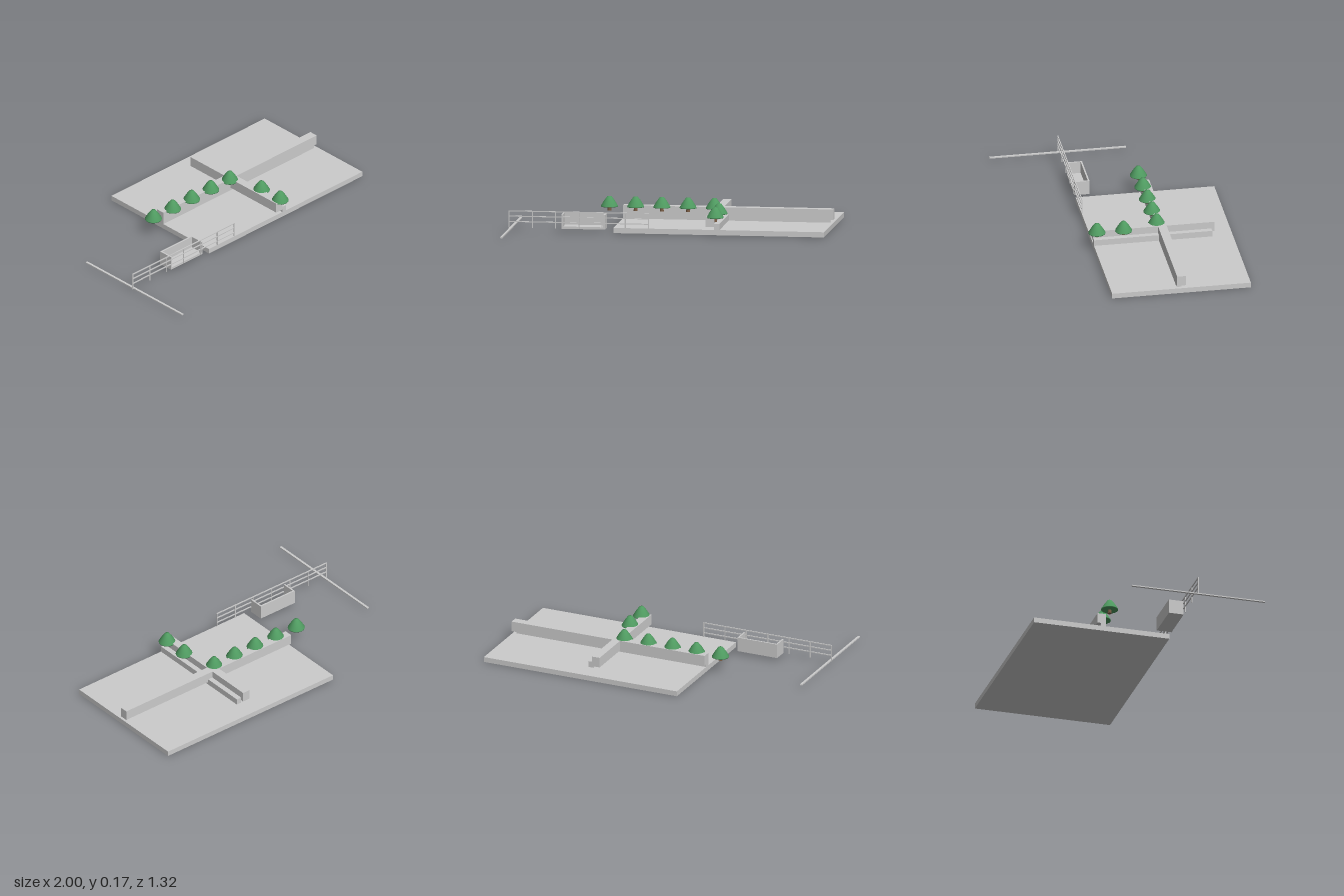
import * as THREE from 'three';

export function createModel() {
  const model = new THREE.Group();
  const concrete = new THREE.MeshStandardMaterial({ color: 0xcccccc });
  concrete.name = 'concrete grey';
  const leaves = new THREE.MeshStandardMaterial({ color: 0x4f9a60 });
  leaves.name = 'leaf green';
  const bark = new THREE.MeshStandardMaterial({ color: 0x7a5c44 });
  bark.name = 'bark brown';

  // Box given by its minimum and maximum corners
  const box = (name, [x0, y0, z0], [x1, y1, z1], parent = model) => {
    const mesh = new THREE.Mesh(new THREE.BoxGeometry(x1 - x0, y1 - y0, z1 - z0), concrete);
    mesh.position.set((x0 + x1) / 2, (y0 + y1) / 2, (z0 + z1) / 2);
    mesh.name = name;
    parent.add(mesh);
  };
  const group = (name) => {
    const g = new THREE.Group();
    g.name = name;
    model.add(g);
    return g;
  };

  // Ground slab
  box('groundSlab', [-0.335, 0, -0.66], [1, 0.033, 0.224]);

  // Two crossing planter walls, each an overhanging beam on a lower ledge
  const longWall = group('longWall');
  box('beam', [-0.335, 0.052, -0.245], [1, 0.117, -0.19], longWall);
  box('footing', [-0.335, 0.033, -0.222], [0.978, 0.052, -0.19], longWall);
  const crossWall = group('crossWall');
  box('beam', [0.25, 0.052, -0.55], [0.303, 0.117, 0.224], crossWall);
  box('ledge', [0.303, 0.033, -0.53], [0.337, 0.072, 0.224], crossWall);

  // Fence: evenly spaced posts and three rails
  const fence = group('fence');
  for (let i = 0; i < 7; i++) {
    const x = -0.997 + i * 0.1473;
    box('post', [x - 0.003, 0.02, 0.218], [x + 0.003, 0.129, 0.224], fence);
  }
  for (const y of [0.06, 0.094, 0.127]) {
    box('rail', [-1, y - 0.003, 0.218], [-0.11, y + 0.003, 0.224], fence);
  }

  // Long kerb bar lying across the fence end
  box('kerbBar', [-0.992, 0.017, -0.21], [-0.977, 0.024, 0.66]);

  // Open shelter box behind the fence
  const shelter = group('shelter');
  box('floor', [-0.665, 0.02, 0.125], [-0.39, 0.035, 0.222], shelter);
  box('backWall', [-0.665, 0.035, 0.125], [-0.39, 0.112, 0.135], shelter);
  for (const x of [-0.665, -0.4]) {
    box('endWall', [x, 0.035, 0.135], [x + 0.01, 0.112, 0.222], shelter);
  }

  // Trees: tapered crown on a short trunk
  const crownGeometry = new THREE.LatheGeometry(
    [[0, 0.024], [0.053, 0.024], [0.054, 0.029], [0.033, 0.064], [0.014, 0.089], [0, 0.092]]
      .map(([r, y]) => new THREE.Vector2(r, y)), 20);
  const trunkGeometry = new THREE.CylinderGeometry(0.011, 0.013, 0.026, 10).translate(0, 0.013, 0);
  const spots = [[0.307, 0.03], [0.307, 0.2]];
  for (let i = 0; i < 5; i++) spots.push([-0.42 + i * 0.1663, -0.191]);
  for (const [x, z] of spots) {
    const tree = group('tree');
    tree.position.set(x, 0.083, z);
    const crown = new THREE.Mesh(crownGeometry, leaves);
    crown.name = 'crown';
    const trunk = new THREE.Mesh(trunkGeometry, bark);
    trunk.name = 'trunk';
    tree.add(crown, trunk);
  }
  return model;
}
